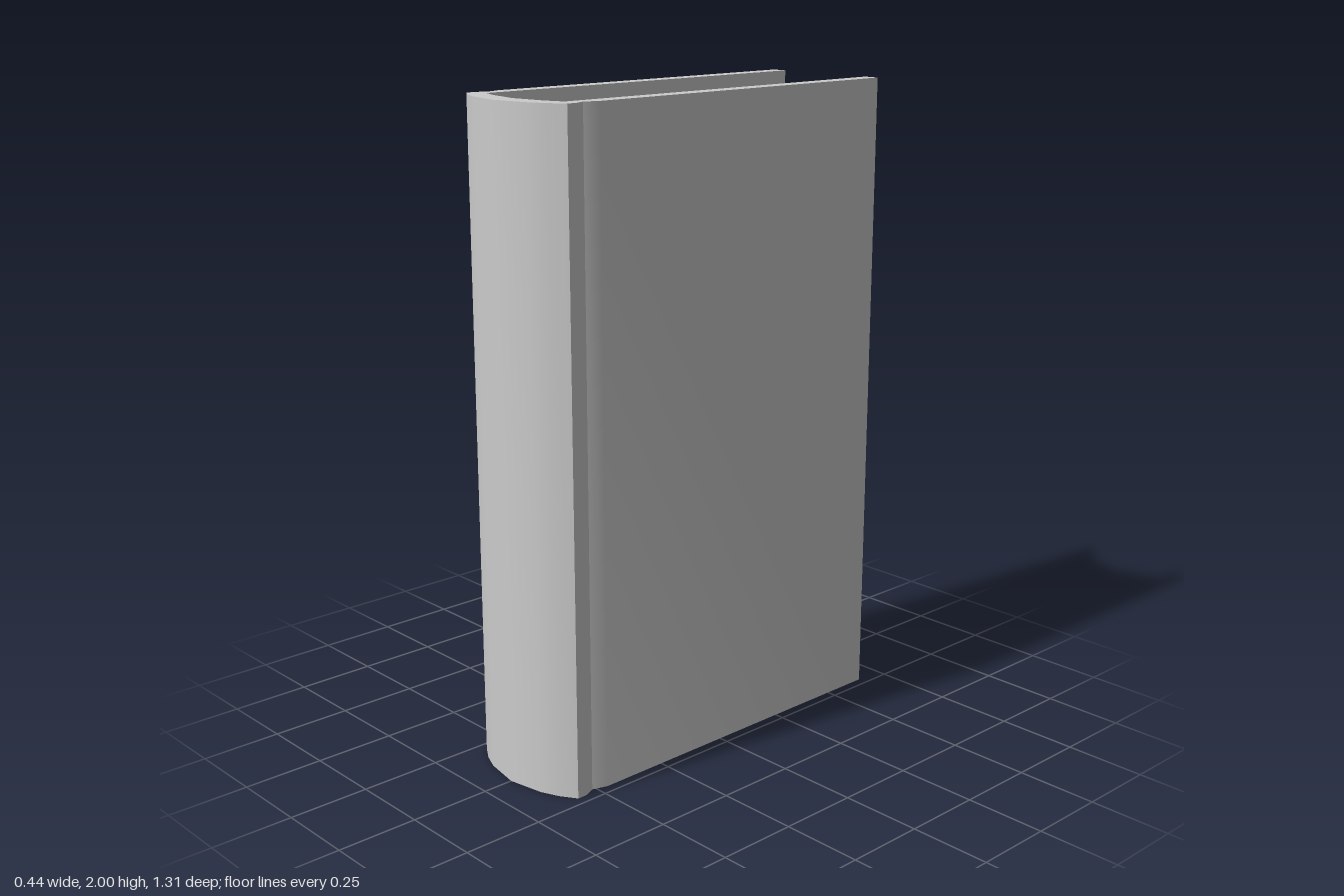
import * as THREE from 'three';
import { toCreasedNormals } from 'three/addons/utils/BufferGeometryUtils.js';

const material = new THREE.MeshStandardMaterial({ color: 0xcccccc });

// Upright prism from an outline of [x, z] points, between two heights
function prism(name, outline, bottom, top) {
  const shape = new THREE.Shape(outline.map(([x, z]) => new THREE.Vector2(x, -z)));
  const geometry = new THREE.ExtrudeGeometry(shape, { depth: top - bottom, bevelEnabled: false });
  geometry.rotateX(-Math.PI / 2);
  geometry.translate(0, bottom, 0);
  const mesh = new THREE.Mesh(toCreasedNormals(geometry, 0.42), material);
  mesh.name = name;
  return mesh;
}

// Mirrors a half profile that ends on x = 0 to the other side
const mirrored = (half) => [...half, ...half.slice(0, -1).reverse().map(([x, z]) => [-x, z])];

export function createModel() {
  const book = new THREE.Group();
  book.name = 'book';

  // Boards, hinge grooves and rounded spine in one U-shaped section
  const outer = mirrored([
    [0.22, -0.655], [0.22, 0.465], [0.205, 0.512], [0.22, 0.545], [0.22, 0.578],
    [0.17, 0.61], [0.115, 0.633], [0, 0.654],
  ]);
  const innerSpine = mirrored([[0.17, 0.546], [0.11, 0.568], [0, 0.586]]);
  const inner = [[0.17, -0.655], ...innerSpine, [-0.17, -0.655]].reverse();
  book.add(prism('cover', [...outer, ...inner], 0, 2));

  // Page block, set in from the cover edges, with a slightly uneven hollow fore-edge
  const foreEdge = [
    [-0.17, -0.625], [-0.14, -0.607], [-0.115, -0.595], [-0.08, -0.587], [-0.07, -0.58],
    [-0.045, -0.575], [-0.02, -0.564], [0, -0.561], [0.03, -0.566], [0.06, -0.58],
    [0.1, -0.589], [0.13, -0.602], [0.17, -0.625],
  ];
  book.add(prism('pages', [...foreEdge, ...innerSpine], 0.05, 1.95));

  return book;
}
